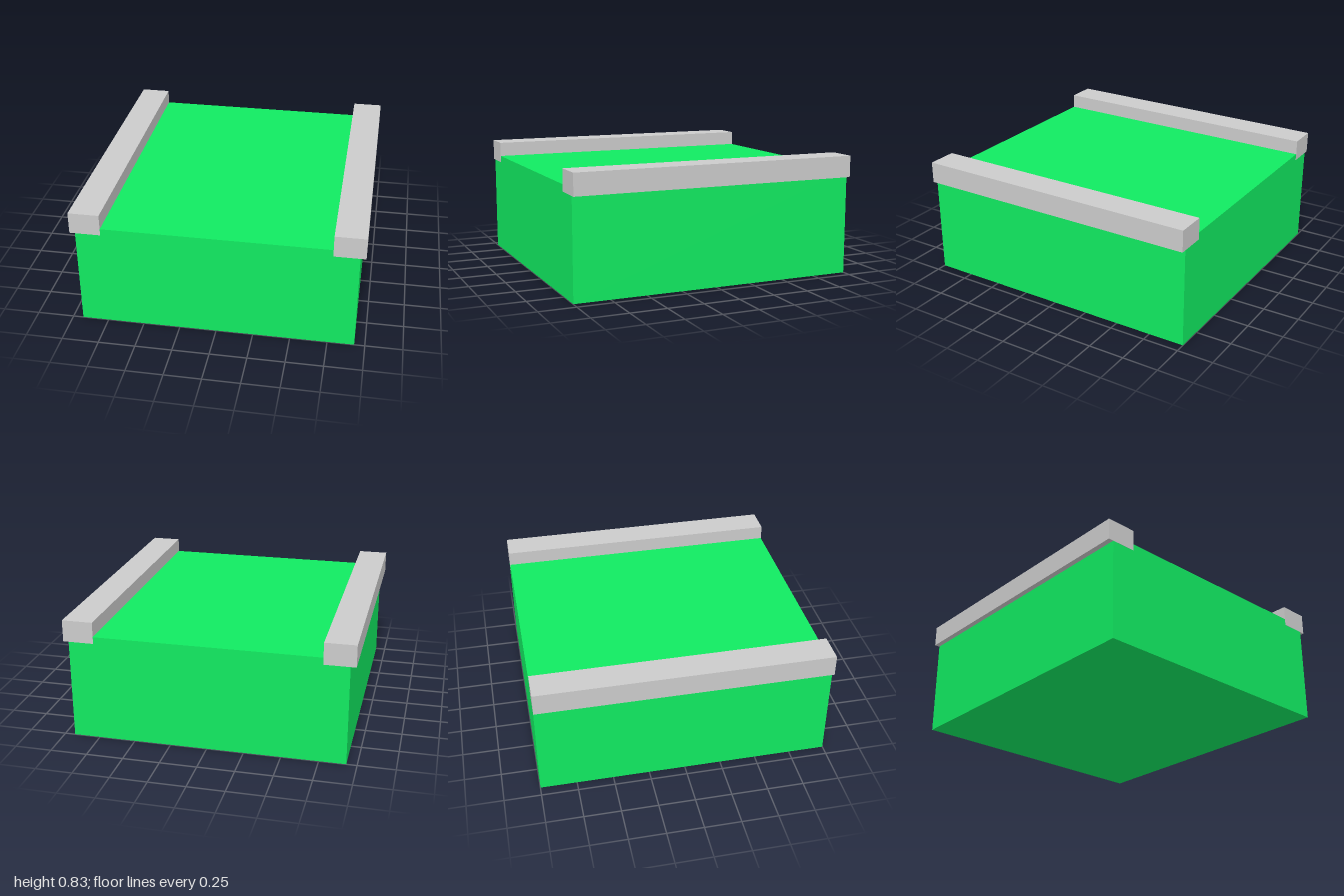
import * as THREE from 'three';

export function createModel() {
  const group = new THREE.Group();
  const green = new THREE.MeshStandardMaterial({ color: 0x11ea61 });
  const grey = new THREE.MeshStandardMaterial({ color: 0xcccccc });

  function addBox(name, size, position, material) {
    const mesh = new THREE.Mesh(new THREE.BoxGeometry(...size), material);
    mesh.name = name;
    mesh.position.set(...position);
    group.add(mesh);
  }

  // Main block, a hair shorter than the rails so their end faces do not flicker
  addBox('body', [1.86, 0.73, 1.998], [0, 0.365, 0], green);

  // Rails along both upper side edges
  for (const [name, side] of [['leftRail', 1], ['rightRail', -1]]) {
    addBox(name, [0.208, 0.148, 2], [side * 0.863, 0.757, 0], grey);
  }
  return group;
}
